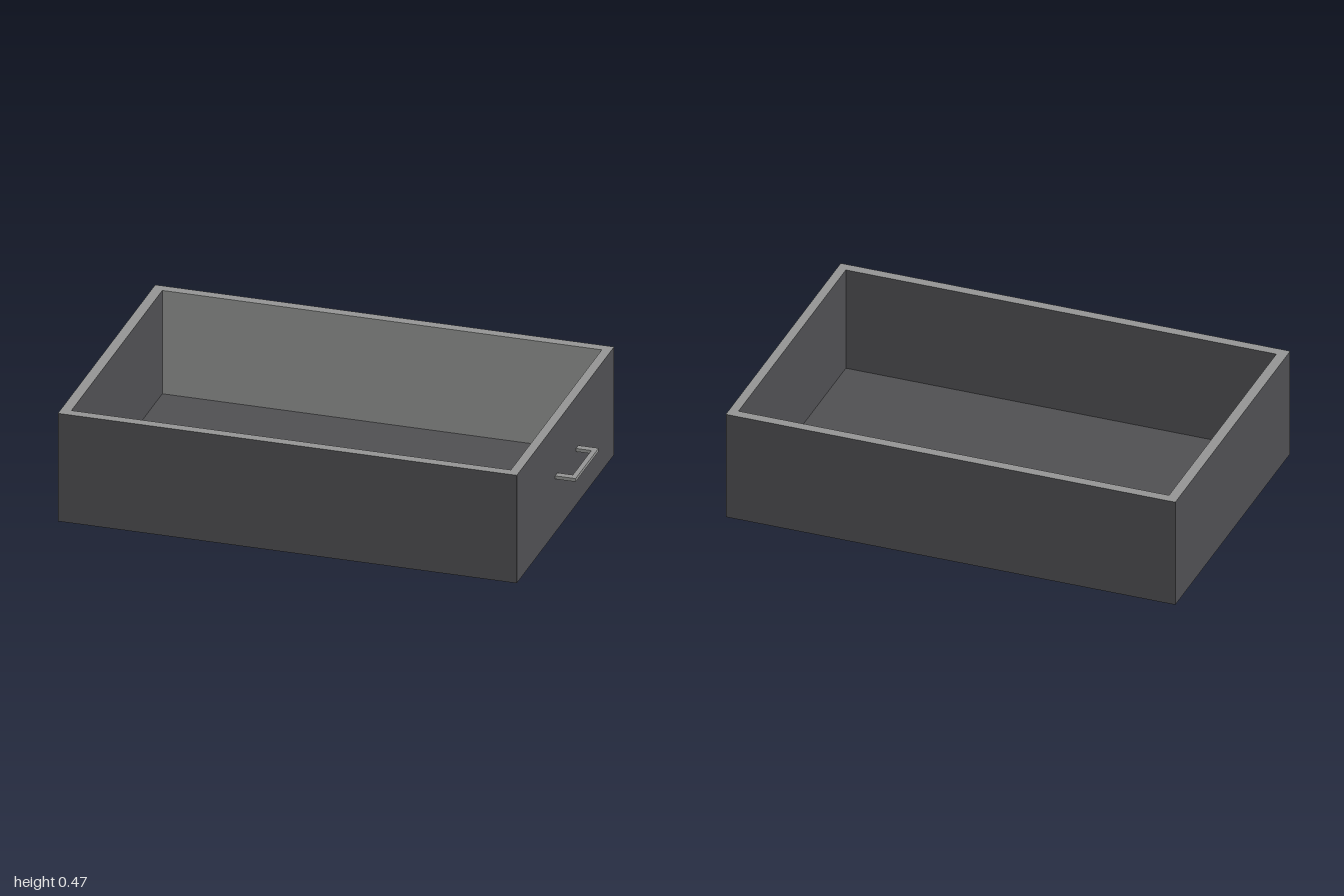
import * as THREE from 'three';

export function createModel() {
  const model = new THREE.Group();
  model.name = 'drawer';

  const dark = new THREE.MeshStandardMaterial({ color: 0x4f4f52 });
  dark.name = 'dark grey panel';
  const light = new THREE.MeshStandardMaterial({ color: 0x939493 });
  light.name = 'light grey edge';

  // Box given by its extents on each axis
  const addBox = (name, [x0, x1], [y0, y1], [z0, z1], material, parent = model) => {
    const mesh = new THREE.Mesh(new THREE.BoxGeometry(x1 - x0, y1 - y0, z1 - z0), material);
    mesh.position.set((x0 + x1) / 2, (y0 + y1) / 2, (z0 + z1) / 2);
    mesh.name = name;
    parent.add(mesh);
  };

  const height = 0.473, floorTop = 0.02;
  const left = -1, right = 0.915, innerLeft = -0.957, innerRight = 0.877;
  const depth = 0.635, innerDepth = 0.593;

  // Face order: +x, -x, +y, -y, +z, -z; the top edge is light
  const wall = [dark, dark, light, dark, dark, dark];
  const backWall = [dark, dark, light, dark, light, dark]; // light inner face too
  const wallY = [floorTop, height];

  addBox('floor', [left, right], [0, floorTop], [-depth, depth], dark);
  addBox('frontWall', [left, right], wallY, [innerDepth, depth], wall);
  addBox('backWall', [left, right], wallY, [-depth, -innerDepth], backWall);
  addBox('endWall', [left, innerLeft], wallY, [-innerDepth, innerDepth], wall);
  addBox('handleWall', [innerRight, right], wallY, [-innerDepth, innerDepth], wall);

  // Pull handle: two legs and a grip bar
  const handle = new THREE.Group();
  handle.name = 'handle';
  model.add(handle);
  const handleY = [0.234, 0.248], z0 = -0.168, z1 = 0.133, leg = 0.03, gripX = 0.979;
  addBox('handleLegBack', [right, gripX], handleY, [z0, z0 + leg], light, handle);
  addBox('handleLegFront', [right, gripX], handleY, [z1 - leg, z1], light, handle);
  addBox('handleGrip', [gripX, 1], handleY, [z0, z1], light, handle);

  return model;
}
